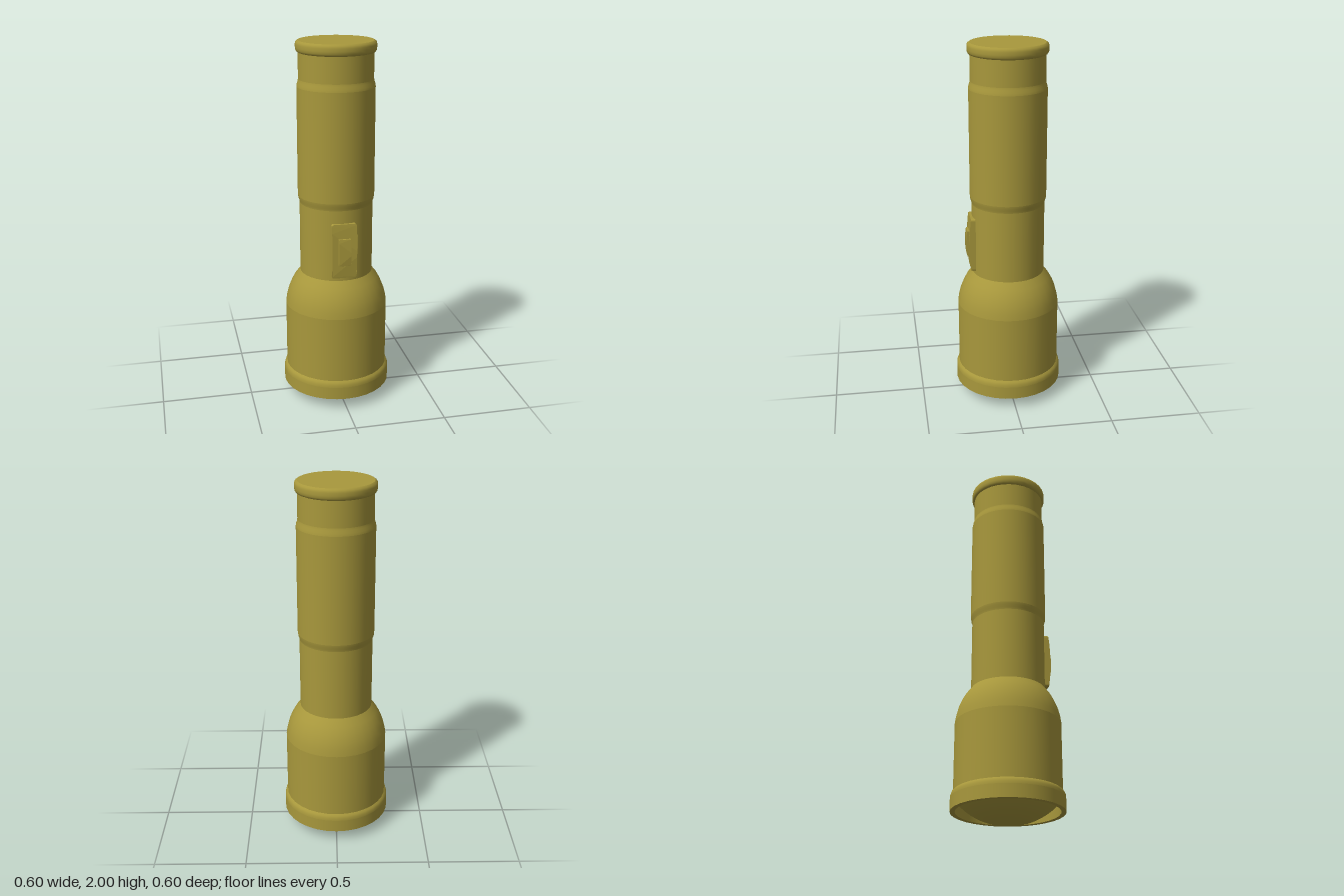
import * as THREE from 'three';
import { mergeGeometries } from 'three/addons/utils/BufferGeometryUtils.js';

const SIDES = 32;
const material = new THREE.MeshStandardMaterial({ color: 0xa8983c });

// Turned part: each section is smooth, edges between sections stay sharp
function turned(name, ...sections) {
  const parts = sections.map((pts) =>
    new THREE.LatheGeometry(pts.map(([r, y]) => new THREE.Vector2(r, y)), SIDES));
  const mesh = new THREE.Mesh(mergeGeometries(parts), material);
  mesh.name = name;
  return mesh;
}

// Rounded plate whose front bulges along its length
function bulgedPlate(name, width, y0, y1, back, edge, crown, radius) {
  const h = y1 - y0, w = width / 2, r = radius;
  const shape = new THREE.Shape();
  shape.moveTo(-w + r, 0);
  shape.lineTo(w - r, 0);
  shape.quadraticCurveTo(w, 0, w, r);
  for (let i = 1; i < 8; i++) shape.lineTo(w, r + (h - 2 * r) * i / 8);
  shape.lineTo(w, h - r);
  shape.quadraticCurveTo(w, h, w - r, h);
  shape.lineTo(-w + r, h);
  shape.quadraticCurveTo(-w, h, -w, h - r);
  for (let i = 7; i > 0; i--) shape.lineTo(-w, r + (h - 2 * r) * i / 8);
  shape.lineTo(-w, r);
  shape.quadraticCurveTo(-w, 0, -w + r, 0);
  const geo = new THREE.ExtrudeGeometry(shape, { depth: edge - back, bevelEnabled: false, curveSegments: 4 });
  const p = geo.attributes.position;
  for (let i = 0; i < p.count; i++) {
    const t = (2 * p.getY(i)) / h - 1;
    const front = p.getZ(i) > 1e-4;
    p.setZ(i, front ? edge + (crown - edge) * (1 - t * t) : back);
    p.setY(i, p.getY(i) + y0);
  }
  geo.computeVertexNormals();
  const mesh = new THREE.Mesh(geo, material);
  mesh.name = name;
  return mesh;
}

export function createModel() {
  const group = new THREE.Group();
  group.name = 'flashlight';

  // Domed lens, set into the rim
  const R = 0.365, dome = [];
  for (let i = 0; i <= 10; i++) {
    const a = (i / 10) * Math.asin(0.272 / R);
    dome.push([R * Math.sin(a), 0.004 + R * (1 - Math.cos(a))]);
  }
  dome[0][1] = 0;
  group.add(turned('lens', dome));

  // Rim around the lens
  group.add(turned('lensRim',
    [[0.272, 0.13], [0.272, 0.065]],
    [[0.272, 0.065], [0.298, 0.065]],
    [[0.298, 0.065], [0.298, 0.135]],
    [[0.298, 0.135], [0.297, 0.148], [0.292, 0.162], [0.281, 0.172]]));

  // Wide head and its rounded shoulder
  group.add(turned('head',
    [[0.283, 0.13], [0.283, 0.54]],
    [[0.283, 0.54], [0.278, 0.575], [0.268, 0.615], [0.252, 0.655], [0.23, 0.695], [0.199, 0.735]]));

  // Barrel with a slightly thicker grip
  group.add(turned('barrel',
    [[0.2, 0.72], [0.2, 1.13]],
    [[0.2, 1.13], [0.202, 1.142], [0.207, 1.156], [0.209, 1.17]],
    [[0.209, 1.17], [0.209, 1.76]],
    [[0.209, 1.76], [0.207, 1.774], [0.202, 1.788], [0.2, 1.8]],
    [[0.2, 1.8], [0.2, 1.96]]));

  // Tail cap with rounded edges
  group.add(turned('tailCap',
    [[0.198, 1.938], [0.207, 1.942], [0.213, 1.952], [0.214, 1.965], [0.214, 1.98], [0.211, 1.993], [0.2, 2]],
    [[0.2, 2], [0, 2]]));

  // Switch on the front
  group.add(bulgedPlate('switchPlate', 0.136, 0.755, 1.06, 0.18, 0.212, 0.222, 0.014));
  group.add(bulgedPlate('switchButton', 0.066, 0.83, 0.98, 0.2, 0.23, 0.237, 0.002));

  return group;
}
